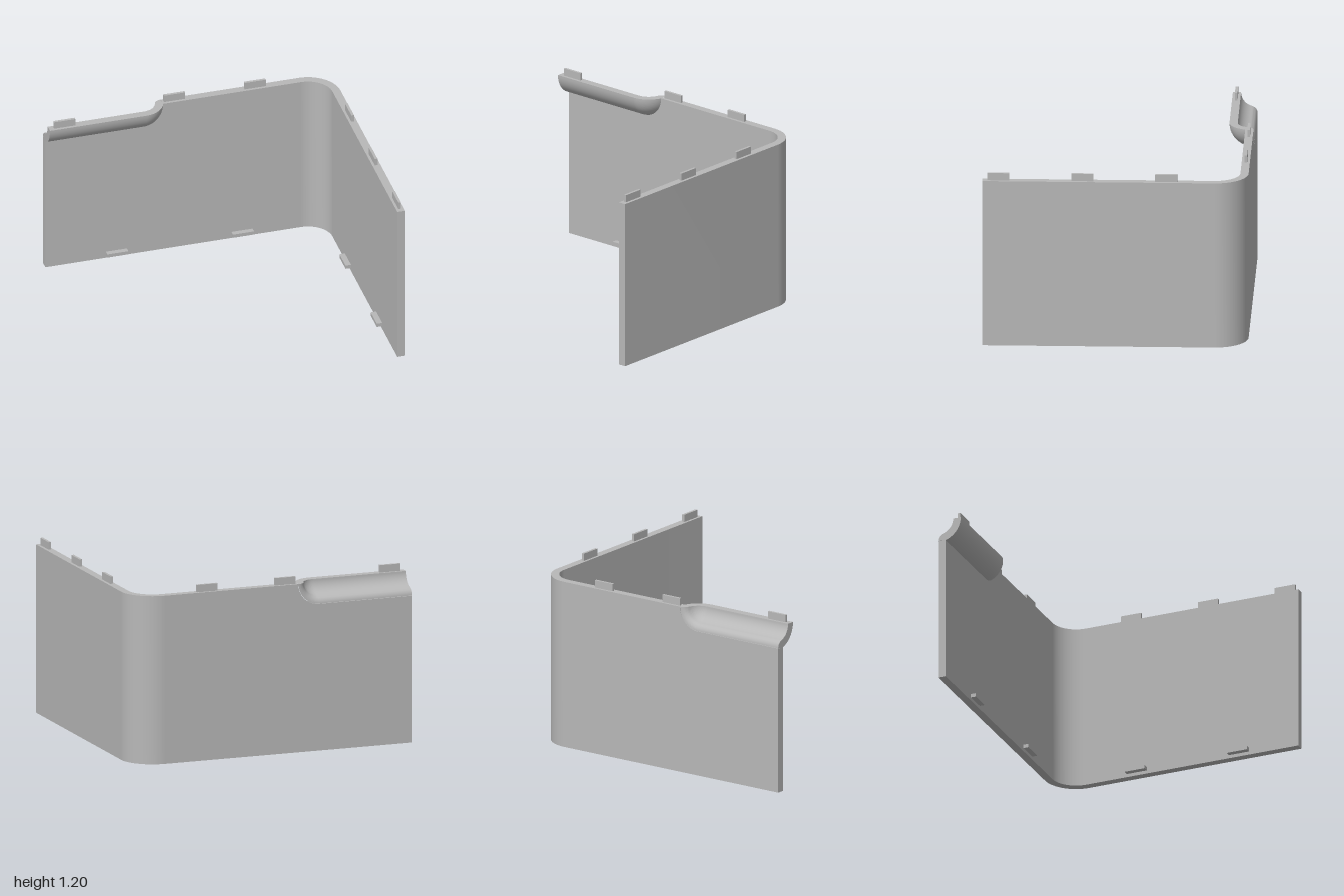
import * as THREE from 'three';
import { toCreasedNormals } from 'three/addons/utils/BufferGeometryUtils.js';

const H = 1.15, T = 0.055;            // wall height and thickness
const BACK = -0.885, INNER = BACK + T; // back wall faces
const CX = 0.775, CZ = -0.66, R = 0.225; // rounded corner
const COVE_X = -0.33, COVE_S = 0.147;  // cove end and reach below the rim

export function createModel() {
  const group = new THREE.Group();
  const grey = new THREE.MeshStandardMaterial({ color: 0xb8b8b8 });
  grey.name = 'grey';

  const add = (name, geometry) => {
    const mesh = new THREE.Mesh(geometry, grey);
    mesh.name = name;
    group.add(mesh);
    return mesh;
  };
  const extrude = (shape, depth) =>
    new THREE.ExtrudeGeometry(shape, { depth, bevelEnabled: false, curveSegments: 24 });
  const block = (name, x0, x1, y0, y1, z0, z1) =>
    add(name, new THREE.BoxGeometry(x1 - x0, y1 - y0, z1 - z0))
      .position.set((x0 + x1) / 2, (y0 + y1) / 2, (z0 + z1) / 2);

  // back wall with a rounded notch under the cove
  const wall = new THREE.Shape();
  wall.moveTo(-1, 0);
  wall.lineTo(CX, 0);
  wall.lineTo(CX, H);
  wall.lineTo(COVE_X + COVE_S, H);
  wall.absarc(COVE_X, H, COVE_S, 0, -Math.PI / 2, true);
  wall.lineTo(-1, H - COVE_S);
  wall.closePath();
  add('backWall', extrude(wall, T).translate(0, 0, BACK));

  // side wall with the rounded corner, drawn in plan (x, -z)
  const plan = new THREE.Shape();
  plan.moveTo(1, BACK);
  plan.lineTo(1, -CZ);
  plan.absarc(CX, -CZ, R, 0, Math.PI / 2, false);
  plan.lineTo(CX, -INNER);
  plan.absarc(CX, -CZ, R - T, Math.PI / 2, 0, true);
  plan.lineTo(1 - T, BACK);
  plan.closePath();
  add('sideWall', toCreasedNormals(extrude(plan, H).rotateX(-Math.PI / 2), 0.5));

  // cove section as (distance from rim axis, z): front bulge, then hollow back with fillet
  const section = [];
  const axisZ = -0.875, outer = 0.155, hollow = 0.1, fillet = 0.05, N = 14;
  const a0 = Math.asin((INNER - axisZ) / outer);
  for (let i = 0; i <= N; i++) {
    const a = a0 + (Math.PI / 2 - a0) * i / N;
    section.push([i === N ? 0 : outer * Math.cos(a), axisZ + outer * Math.sin(a)]);
  }
  const dz = BACK + fillet - axisZ, reach = hollow + fillet;
  const a1 = Math.asin(dz / reach), filletS = reach * Math.cos(a1);
  for (let i = 0; i <= N; i++) {
    const a = Math.PI / 2 + (a1 - Math.PI / 2) * i / N;
    section.push([i === 0 ? 0 : hollow * Math.cos(a), axisZ + hollow * Math.sin(a)]);
  }
  for (let i = 1; i <= 8; i++) {
    const a = Math.PI + a1 + (Math.PI / 2 - a1) * i / 8;
    section.push([filletS + fillet * Math.cos(a), BACK + fillet + fillet * Math.sin(a)]);
  }
  const shapeOf = (f) => new THREE.Shape(section.map(([s, z]) => new THREE.Vector2(...f(s, z))));

  // straight run of the cove
  const run = extrude(shapeOf((s, z) => [-z, H - s]), COVE_X + 1);
  add('coveRun', toCreasedNormals(run.rotateY(Math.PI / 2).translate(-1, 0, 0), 0.5));

  // rounded end of the cove, a quarter turn of the same section
  const turn = new THREE.LatheGeometry(
    section.map(([s, z]) => new THREE.Vector2(s, z)), 24, 0, Math.PI / 2);
  add('coveEnd', toCreasedNormals(turn.rotateX(Math.PI / 2).translate(COVE_X, H, 0), 0.5));
  add('coveEndRim', new THREE.ShapeGeometry(shapeOf((s, z) => [s, -z]))
    .rotateX(-Math.PI / 2).translate(COVE_X, H, 0));

  // upright tabs along the rim
  for (const [x, z] of [[-0.965, -0.757], [-0.17, -0.867], [0.39, -0.867]])
    block('rimTab', x, x + 0.147, H, 1.2, z, z + 0.018);
  for (const z of [-0.415, 0.145, 0.705])
    block('rimTab', 0.962, 0.98, H, 1.2, z, z + 0.147);

  // small ledges near the floor on the inner faces
  for (const x of [-0.58, 0.293])
    block('floorLedge', x, x + 0.147, 0.023, 0.048, INNER, INNER + 0.036);
  for (const z of [-0.365, 0.38])
    block('floorLedge', 1 - T - 0.038, 1 - T, 0.023, 0.048, z, z + 0.147);

  return group;
}
